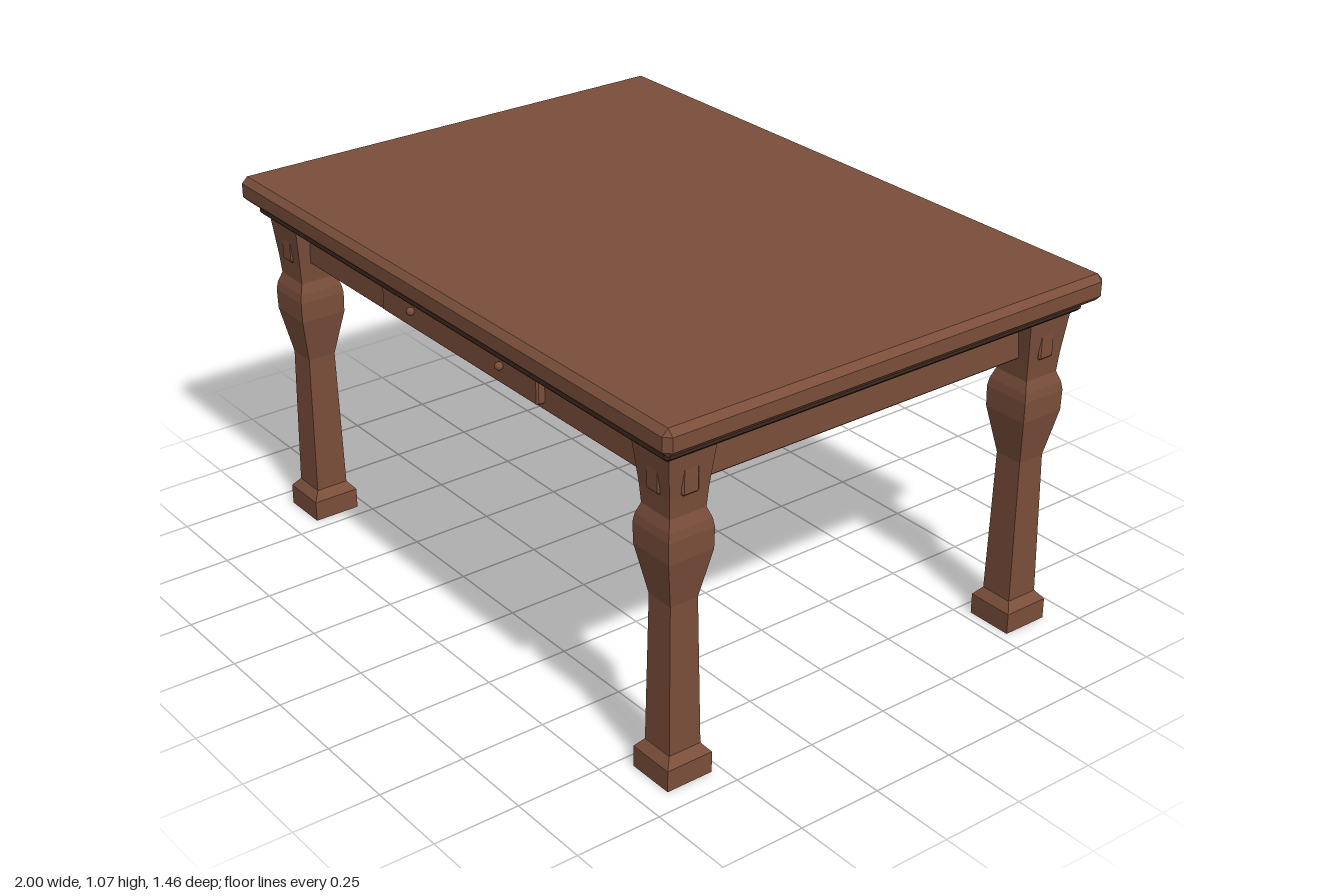
import * as THREE from 'three';
import { ConvexGeometry } from 'three/addons/geometries/ConvexGeometry.js';

// Box with every edge cut by a flat chamfer b
function chamferBox(w, h, d, b) {
  const pts = [];
  for (const sx of [-1, 1]) for (const sy of [-1, 1]) for (const sz of [-1, 1]) {
    const x = w / 2, y = h / 2, z = d / 2;
    pts.push(new THREE.Vector3(sx * x, sy * (y - b), sz * (z - b)));
    pts.push(new THREE.Vector3(sx * (x - b), sy * y, sz * (z - b)));
    pts.push(new THREE.Vector3(sx * (x - b), sy * (y - b), sz * z));
  }
  return new ConvexGeometry(pts);
}

// Square leg: [half width, height] profile turned with four sides
function legGeometry() {
  const profile = [
    [0, 0], [0.071, 0], [0.071, 0.062], [0.05, 0.088], [0.043, 0.52],
    [0.07, 0.66], [0.071, 0.72], [0.067, 0.745], [0.056, 0.775],
    [0.06, 0.83], [0.074, 0.96], [0, 0.96],
  ].map(([half, y]) => new THREE.Vector2(half * Math.SQRT2, y));
  const geo = new THREE.LatheGeometry(profile, 4).rotateY(Math.PI / 4).toNonIndexed();
  geo.computeVertexNormals();
  return geo;
}

export function createModel() {
  const model = new THREE.Group();
  model.name = 'table';
  const wood = new THREE.MeshStandardMaterial({ color: 0x7a4e3a });
  wood.name = 'brown wood';
  const darkWood = new THREE.MeshStandardMaterial({ color: 0x3d291f });
  darkWood.name = 'dark wood';

  const add = (name, geo, mat, x, y, z) => {
    const mesh = new THREE.Mesh(geo, mat);
    mesh.name = name;
    mesh.position.set(x, y, z);
    model.add(mesh);
    return mesh;
  };

  // Top slab and the dark moulding under it
  add('tableTop', chamferBox(2, 0.077, 1.46, 0.018), wood, 0, 1.0285, 0);
  add('underMoulding', chamferBox(1.914, 0.036, 1.394, 0.01), darkWood, 0, 0.973, 0);

  const legX = 0.862, legZ = 0.6;

  // Rails whose ends pass through the tapering legs
  const longRail = chamferBox(1.86, 0.13, 0.052, 0.005);
  const shortRail = chamferBox(0.052, 0.13, 1.334, 0.005);
  const leg = legGeometry();
  for (const s of [-1, 1]) {
    add(s > 0 ? 'frontRail' : 'backRail', longRail, wood, 0, 0.897, s * legZ);
    add(s > 0 ? 'leftRail' : 'rightRail', shortRail, wood, s * legX, 0.897, 0);
    for (const t of [-1, 1]) {
      add((t > 0 ? 'front' : 'back') + (s > 0 ? 'Left' : 'Right') + 'Leg', leg, wood, s * legX, 0, t * legZ);
    }
  }

  // Drawer front with two small knobs
  add('drawerFront', chamferBox(0.735, 0.105, 0.036, 0.005), wood, 0, 0.905, 0.632);
  const knob = new THREE.SphereGeometry(0.012, 12, 8);
  for (const s of [-1, 1]) add(s > 0 ? 'leftKnob' : 'rightKnob', knob, wood, s * 0.21, 0.908, 0.658);

  return model;
}
